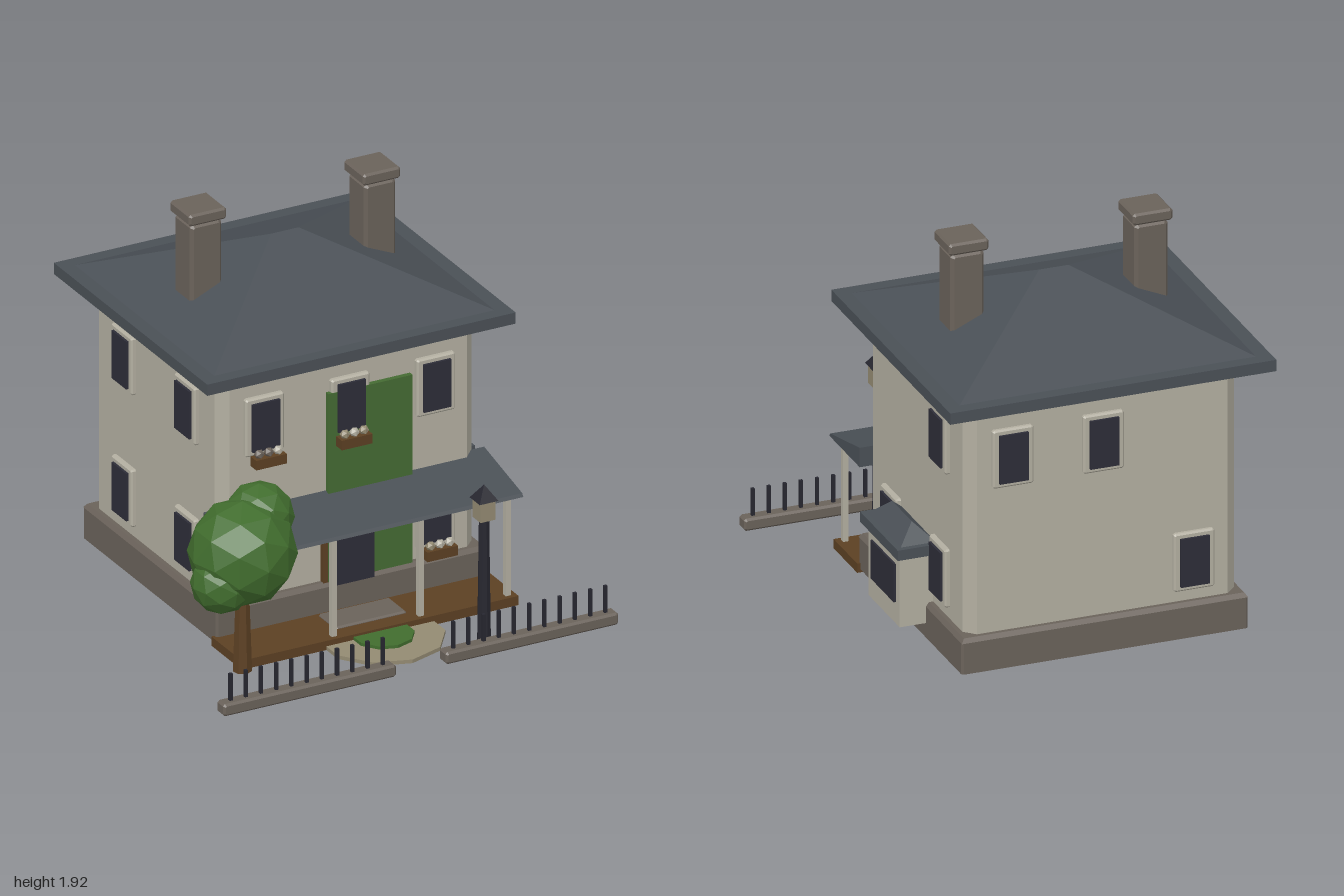
import * as THREE from 'three';

const mat = (name, color) => {
  const m = new THREE.MeshStandardMaterial({ color, flatShading: true });
  m.name = name;
  return m;
};

// Rectangle with cut corners
function octagon(w, h, c, Type = THREE.Shape) {
  const x = w / 2, y = h / 2;
  return new Type([
    [x - c, -y], [x, c - y], [x, y - c], [x - c, y], [c - x, y], [-x, y - c], [-x, c - y], [c - x, -y],
  ].map(([a, b]) => new THREE.Vector2(a, b)));
}

// Box with all edges chamfered by c
function bevelBox(w, h, d, c) {
  const geo = new THREE.ExtrudeGeometry(octagon(w, h, c), {
    depth: d - 2 * c, bevelEnabled: true, bevelThickness: c, bevelSize: c, bevelOffset: -c, bevelSegments: 1,
  });
  return geo.translate(0, 0, c - d / 2);
}

// Hollow upright shell with chamfered corners, open at top and bottom
function shell(w, d, h, c, wall) {
  const s = octagon(w, d, c);
  s.holes.push(octagon(w - 2 * wall, d - 2 * wall, c, THREE.Path));
  return new THREE.ExtrudeGeometry(s, { depth: h, bevelEnabled: false }).rotateX(-Math.PI / 2);
}

// Box whose top shrinks to a ridge
function hip(w, h, d, topW, topD) {
  const geo = new THREE.BoxGeometry(w, h, d);
  const p = geo.attributes.position;
  for (let i = 0; i < p.count; i++) {
    if (p.getY(i) > 0) p.setXYZ(i, Math.sign(p.getX(i)) * topW / 2, h / 2, Math.sign(p.getZ(i)) * topD / 2);
  }
  return geo;
}

export function createModel() {
  const model = new THREE.Group();
  const wall = mat('wall plaster', 0xb3afa1);
  const stone = mat('stone', 0x6a625a);
  const slate = mat('slate', 0x4a5056);
  const glass = mat('dark glass', 0x2d2d38);
  const wood = mat('wood', 0x5c4023);
  const ivyGreen = mat('ivy green', 0x456b33);
  const leaf = mat('leaf green', 0x416d2e);
  const sand = mat('sand', 0x938a72);
  const iron = mat('iron', 0x272730);

  const add = (name, geo, material, x, y, z, parent = model) => {
    const mesh = new THREE.Mesh(geo, material);
    mesh.name = name;
    mesh.position.set(x, y, z);
    parent.add(mesh);
    return mesh;
  };
  const box = (w, h, d) => new THREE.BoxGeometry(w, h, d);
  const MID = -0.28;

  // House body, plinth and floor
  add('houseWalls', shell(1.3, 1.175, 1.28, 0.05, 0.01), wall, 0, 0.075, MID);
  add('plinth', shell(1.37, 1.245, 0.15, 0.01, 0.036), stone, 0, 0.07, MID);
  add('plinthTop', hip(1.37, 0.02, 1.245, 1.34, 1.215), stone, 0, 0.23, MID);

  // Main roof
  add('eaves', box(1.56, 0.055, 1.43), slate, 0, 1.377, -0.285);
  add('hipRoof', hip(1.42, 0.282, 1.3, 0.14, 0), slate, 0, 1.545, -0.285);

  // Chimneys
  for (const s of [-1, 1]) {
    add('chimneyStack', bevelBox(0.16, 0.5, 0.16, 0.014), stone, s * 0.44, 1.61, MID);
    add('chimneyCap', bevelBox(0.19, 0.057, 0.19, 0.01), stone, s * 0.44, 1.892, MID);
  }

  // Windows
  const frameGeo = bevelBox(0.195, 0.283, 0.04, 0.008);
  const paneGeo = box(0.138, 0.235, 0.04);
  const UP = 1.085, LOW = 0.435;
  const addWindow = (x, y, z, turn) => {
    const g = new THREE.Group();
    g.name = 'window';
    g.position.set(x, y, z);
    g.rotation.y = turn;
    add('windowFrame', frameGeo, wall, 0, 0, 0.003, g);
    add('windowPane', paneGeo, glass, 0, 0, 0.015, g);
    model.add(g);
  };
  const FRONT = 0.309, BACK = -0.866, Q = Math.PI / 2;
  for (const [x, y] of [[-0.433, UP], [0, UP], [0.433, UP], [-0.433, LOW], [0.433, LOW]]) addWindow(x, y, FRONT, 0);
  for (const [x, y] of [[0.433, UP], [0, UP], [-0.433, LOW]]) addWindow(x, y, BACK, Math.PI);
  for (const [z, y] of [[-0.57, UP], [-0.57, LOW], [0.016, LOW]]) addWindow(0.65, y, z, Q);
  for (const [z, y] of [[-0.57, UP], [0.016, UP], [-0.57, LOW], [0.016, LOW]]) addWindow(-0.65, y, z, -Q);

  // Door and ivy
  add('door', box(0.28, 0.42, 0.05), wood, 0, 0.295, 0.305);
  add('doorPane', box(0.22, 0.24, 0.03), glass, 0, 0.34, 0.332);
  add('ivy', box(0.425, 0.925, 0.025), ivyGreen, 0.098, 0.7025, 0.322);

  // Flower boxes
  const bloom = new THREE.IcosahedronGeometry(0.024, 0);
  for (const [x, y, tints] of [
    [-0.433, 0.927, [stone, stone, wall]], [0, 0.927, [sand, wall, sand]], [0.433, 0.277, [sand, wall, wall]],
  ]) {
    add('flowerBox', box(0.155, 0.047, 0.055), wood, x, y, 0.363);
    tints.forEach((t, i) => add('flowers', bloom, t, x + (i - 1) * 0.048, y + 0.038, 0.363));
  }

  // Porch: sloping roof, posts, deck and step
  const slope = new THREE.Shape([[0.265, 0.595], [0.63, 0.595], [0.62, 0.61], [0.265, 0.69]]
    .map(([z, y]) => new THREE.Vector2(-z, y)).reverse());
  const porchRoof = new THREE.ExtrudeGeometry(slope, { depth: 1.42, bevelEnabled: false }).rotateY(Q);
  add('porchRoof', porchRoof, slate, -0.71, 0, 0);
  for (const x of [-0.66, -0.22, 0.22, 0.66]) add('porchPost', box(0.026, 0.5, 0.026), wall, x, 0.35, 0.57);
  add('porchDeck', box(1.4, 0.045, 0.285), wood, 0, 0.077, 0.462);
  add('porchStep', bevelBox(0.36, 0.108, 0.165, 0.008), stone, 0, 0.056, 0.44);

  // Bay window on the left wall
  add('bayBody', box(0.19, 0.35, 0.375), wall, 0.715, 0.315, MID);
  add('bayPane', box(0.02, 0.187, 0.28), glass, 0.81, 0.337, MID);
  add('bayEaves', box(0.22, 0.05, 0.455), slate, 0.725, 0.51, MID);
  add('bayRoof', hip(0.17, 0.08, 0.4, 0, 0.235), slate, 0.725, 0.575, MID);

  // Garden bed
  add('path', new THREE.CylinderGeometry(0.287, 0.287, 0.018, 10), sand, 0, 0.064, 0.62);
  add('lawn', new THREE.CylinderGeometry(0.142, 0.142, 0.016, 10), leaf, 0, 0.08, 0.63);

  // Fence on both sides of the gate gap
  for (const s of [-1, 1]) {
    add('fenceBase', bevelBox(0.875, 0.06, 0.07, 0.01), stone, s * 0.5625, 0.08, 0.955);
    for (let i = 0; i < 11; i++) {
      add('fencePost', box(0.015, 0.14, 0.015), iron, s * (0.178 + i * 0.077), 0.172, 0.955);
    }
  }

  // Lamp post
  add('lampPole', new THREE.CylinderGeometry(0.024, 0.032, 0.61, 8), iron, 0.37, 0.375, 0.89);
  add('lantern', box(0.075, 0.095, 0.075), sand, 0.37, 0.725, 0.89);
  add('lanternCap', hip(0.095, 0.072, 0.095, 0, 0), iron, 0.37, 0.808, 0.89);

  // Tree
  add('treeTrunk', new THREE.CylinderGeometry(0.03, 0.044, 0.42, 7), wood, -0.715, 0.28, 0.637);
  for (const [r, x, y, z] of [
    [0.248, -0.715, 0.655, 0.637], [0.16, -0.597, 0.778, 0.575], [0.143, -0.842, 0.55, 0.68],
  ]) add('foliage', new THREE.IcosahedronGeometry(r, 1), leaf, x, y, z);

  return model;
}
